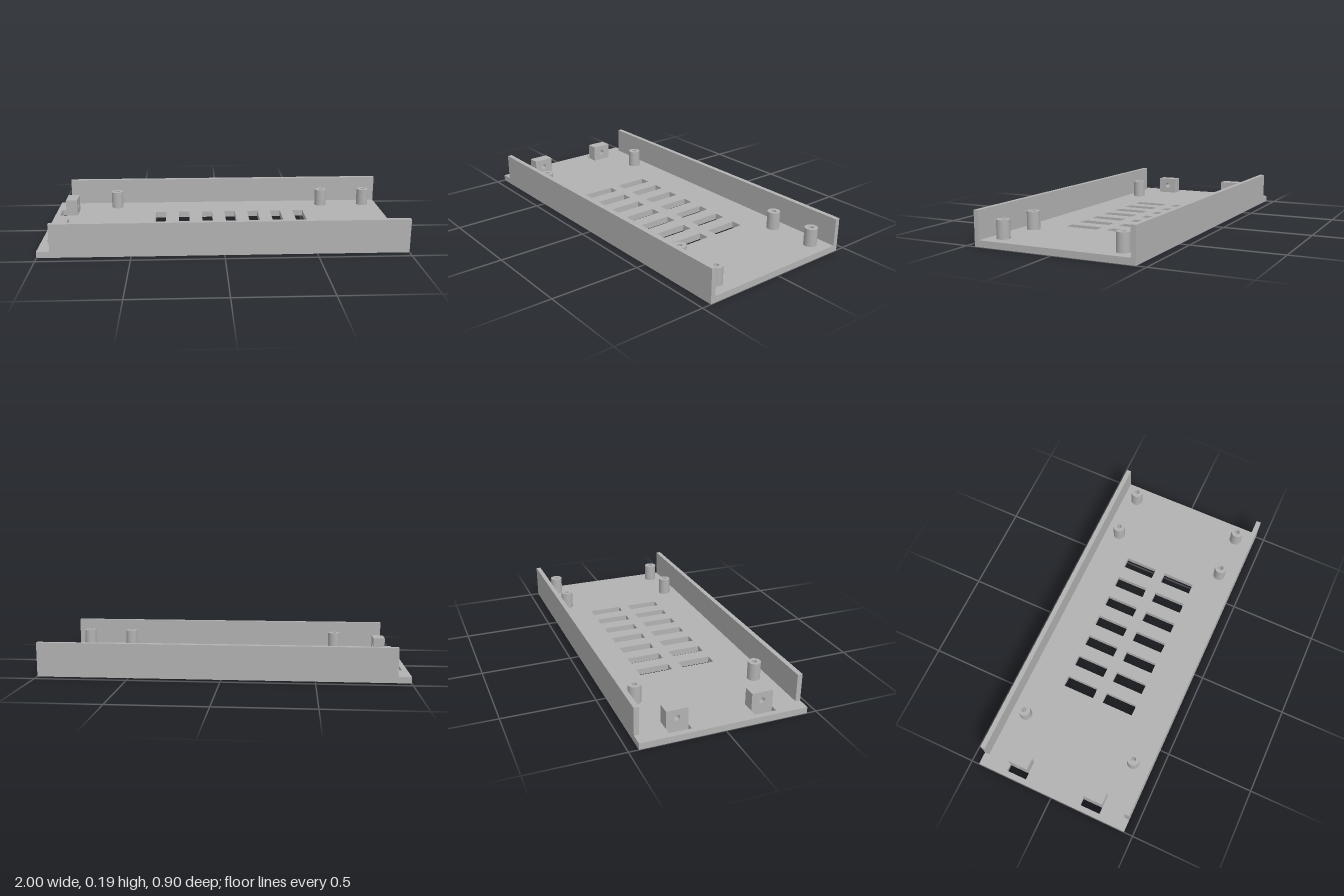
import * as THREE from 'three';

const FLOOR = 0.035, HALF_Z = 0.448;

function rectPoints(x0, x1, y0, y1) {
  return [[x0, y0], [x1, y0], [x1, y1], [x0, y1]].map(([x, y]) => new THREE.Vector2(x, y));
}

export function createModel() {
  const model = new THREE.Group();
  const grey = new THREE.MeshStandardMaterial({ color: 0xb2b2b2 });
  grey.name = 'plain grey';

  function add(name, geometry, x = 0, y = 0, z = 0) {
    const mesh = new THREE.Mesh(geometry, grey);
    mesh.name = name;
    mesh.position.set(x, y, z);
    model.add(mesh);
    return mesh;
  }

  // Floor plate with two rows of vents and a slot beside each lug
  const plate = new THREE.Shape(rectPoints(-1, 1, -HALF_Z, HALF_Z));
  const cut = (...r) => plate.holes.push(new THREE.Path(rectPoints(...r)));
  for (let i = 0; i < 7; i++) {
    const x = -0.39 + i * 0.14;
    cut(x, x + 0.063, 0.03, 0.217);
    cut(x, x + 0.063, -0.217, -0.03);
  }
  cut(-0.97, -0.93, 0.169, 0.286);
  cut(-0.97, -0.93, -0.286, -0.169);
  const floorGeometry = new THREE.ExtrudeGeometry(plate, { depth: FLOOR, bevelEnabled: false });
  add('floorPlate', floorGeometry.rotateX(-Math.PI / 2));

  // Hollow screw post, open at the top with a blind bore
  const postProfile = [[0.035, 0], [0.035, 0.099], [0.014, 0.099], [0.014, 0], [0, 0]];
  // Each segment is its own lathe so the rims stay sharp
  const postSegments = postProfile.slice(1).map((p, i) => new THREE.LatheGeometry(
    [postProfile[i], p].map(([r, y]) => new THREE.Vector2(r, y)), 32));

  // Lug with a round hole running along x
  const lug = new THREE.Shape(rectPoints(-0.058, 0.058, 0, 0.095));
  lug.holes.push(new THREE.Path().absarc(0, 0.048, 0.0155, 0, Math.PI * 2, true));
  const lugGeometry = new THREE.ExtrudeGeometry(lug, { depth: 0.067, bevelEnabled: false, curveSegments: 24 })
    .rotateY(Math.PI / 2);

  for (const side of [1, -1]) {
    const label = side > 0 ? 'front' : 'back';

    // Long side wall, stopping short of the lug end
    add(label + 'Wall', new THREE.BoxGeometry(1.93, 0.187 - FLOOR, 0.027),
      0.035, (0.187 + FLOOR) / 2, side * (HALF_Z - 0.0135));

    add(label + 'Lug', lugGeometry, -0.93, FLOOR, side * 0.228);

    for (const x of [-0.635, 0.643, 0.91]) {
      const post = new THREE.Group();
      post.name = label + 'ScrewPost';
      post.position.set(x, FLOOR, side * 0.338);
      postSegments.forEach((geometry, i) => {
        const part = new THREE.Mesh(geometry, grey);
        part.name = ['postOuter', 'postRim', 'postBore', 'postBoreFloor'][i];
        if (i === 3) part.position.y = 0.001;
        post.add(part);
      });
      model.add(post);
    }
  }
  return model;
}
